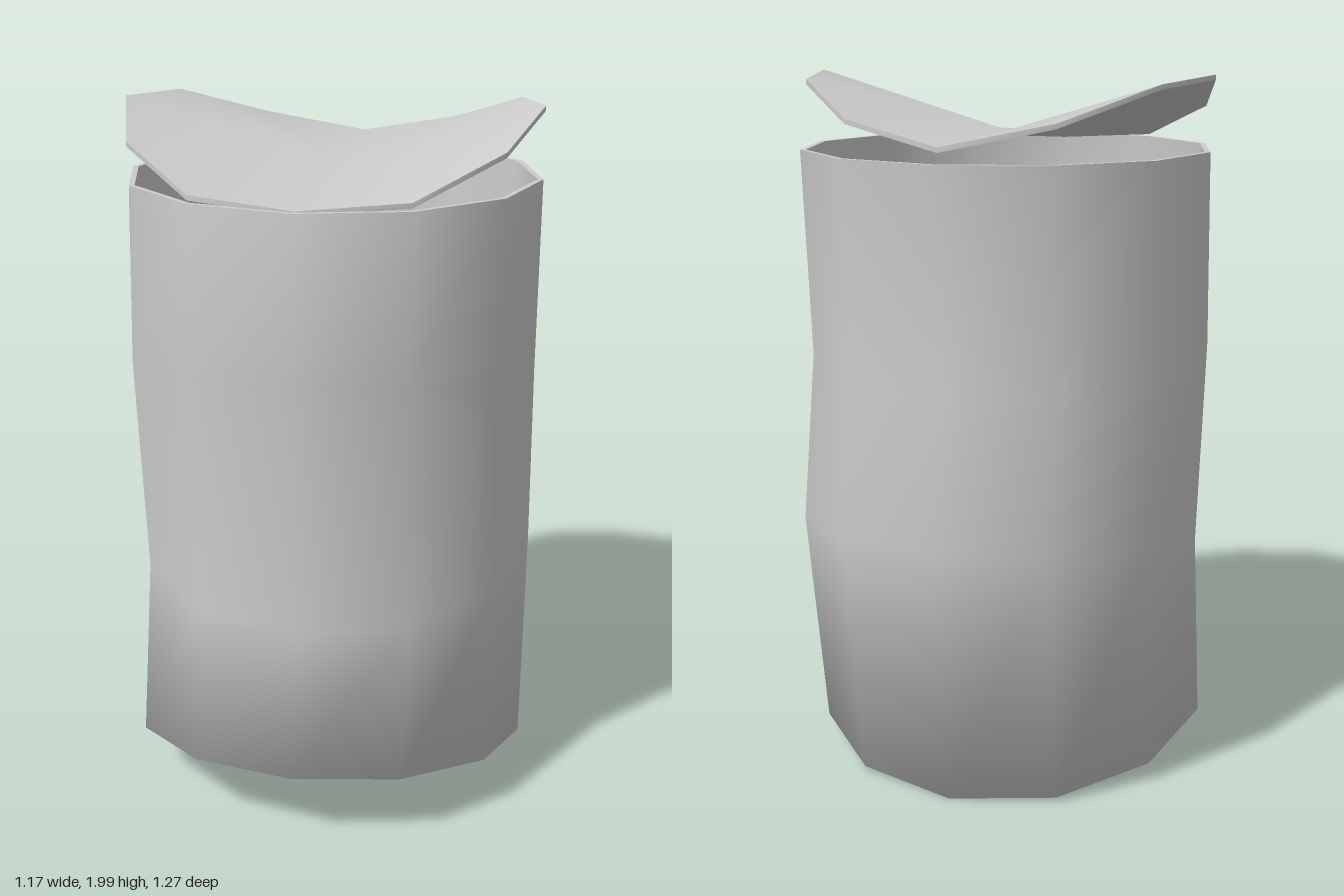
import * as THREE from 'three';
import { mergeVertices } from 'three/addons/utils/BufferGeometryUtils.js';

const SIDES = 12;
const WALL = 0.016;
const material = new THREE.MeshStandardMaterial({ color: 0xcccccc, side: THREE.DoubleSide });

// Tilted twelve-sided ring: centre height, tilt, centre z and radii.
function ring({ y, tilt, z, rx, rz }, inset = 0, lift = 0) {
  return Array.from({ length: SIDES }, (_, i) => {
    const a = (i / SIDES) * Math.PI * 2;
    return [(rx - inset) * Math.sin(a), y + lift + tilt * Math.cos(a), z + (rz - inset) * Math.cos(a)];
  });
}

const pointRing = (p) => Array.from({ length: SIDES }, () => p);

// Smooth skin through a list of rings.
function loft(name, rings) {
  const index = [];
  for (let r = 0; r < rings.length - 1; r++) {
    for (let i = 0; i < SIDES; i++) {
      const j = (i + 1) % SIDES;
      const a = r * SIDES + i, b = r * SIDES + j;
      index.push(a, b, b + SIDES, a, b + SIDES, a + SIDES);
    }
  }
  let geometry = new THREE.BufferGeometry();
  geometry.setAttribute('position', new THREE.Float32BufferAttribute(rings.flat(2), 3));
  geometry.setIndex(index);
  geometry = mergeVertices(geometry);
  geometry.computeVertexNormals();
  const mesh = new THREE.Mesh(geometry, material);
  mesh.name = name;
  return mesh;
}

// Dented can: bottom, two buckled levels, top
const levels = [
  { y: 0.12, tilt: 0.11, z: 0.065, rx: 0.585, rz: 0.575 },
  { y: 0.70, tilt: -0.08, z: -0.05, rx: 0.585, rz: 0.58 },
  { y: 1.26, tilt: 0.10, z: 0.035, rx: 0.585, rz: 0.575 },
  { y: 1.795, tilt: 0, z: -0.005, rx: 0.585, rz: 0.585 },
];

function createCan() {
  const can = new THREE.Group();
  can.name = 'can';
  const outer = levels.map((l) => ring(l));
  const inner = levels.map((l, i) => ring(l, WALL, i === 0 ? WALL : 0));
  const { y, z } = levels[0];
  can.add(
    loft('outerShell', [pointRing([0, y, z]), ...outer]),
    loft('rim', [outer[3], inner[3]]),
    loft('innerShell', [...inner.slice().reverse(), pointRing([0, y + WALL, z])]),
  );
  return can;
}

// Lid bent upward on both sides of a front-to-back crease
function createLid() {
  const lid = new THREE.Group();
  lid.name = 'lid';
  const half = [
    [0, 1.795, 0.55], [0.29, 1.815, 0.49], [0.505, 1.915, 0.3], [0.585, 2.0, 0.035],
    [0.505, 1.985, -0.25], [0.29, 1.895, -0.47], [0, 1.835, -0.55],
  ];
  const mirrored = half.slice(1, -1).reverse().map(([x, y, z]) => [-x, y, z]);
  const top = [...half, ...mirrored];
  const lower = ([x, y, z]) => [x, y - 0.014, z];
  const bottom = top.map(lower);
  const centre = [0, 1.84, 0];
  lid.add(
    loft('lidTop', [top, pointRing(centre)]),
    loft('lidEdge', [bottom, top]),
    loft('lidUnderside', [pointRing(lower(centre)), bottom]),
  );
  return lid;
}

export function createModel() {
  const model = new THREE.Group();
  model.name = 'crumpledCan';
  model.add(createCan(), createLid());
  return model;
}
